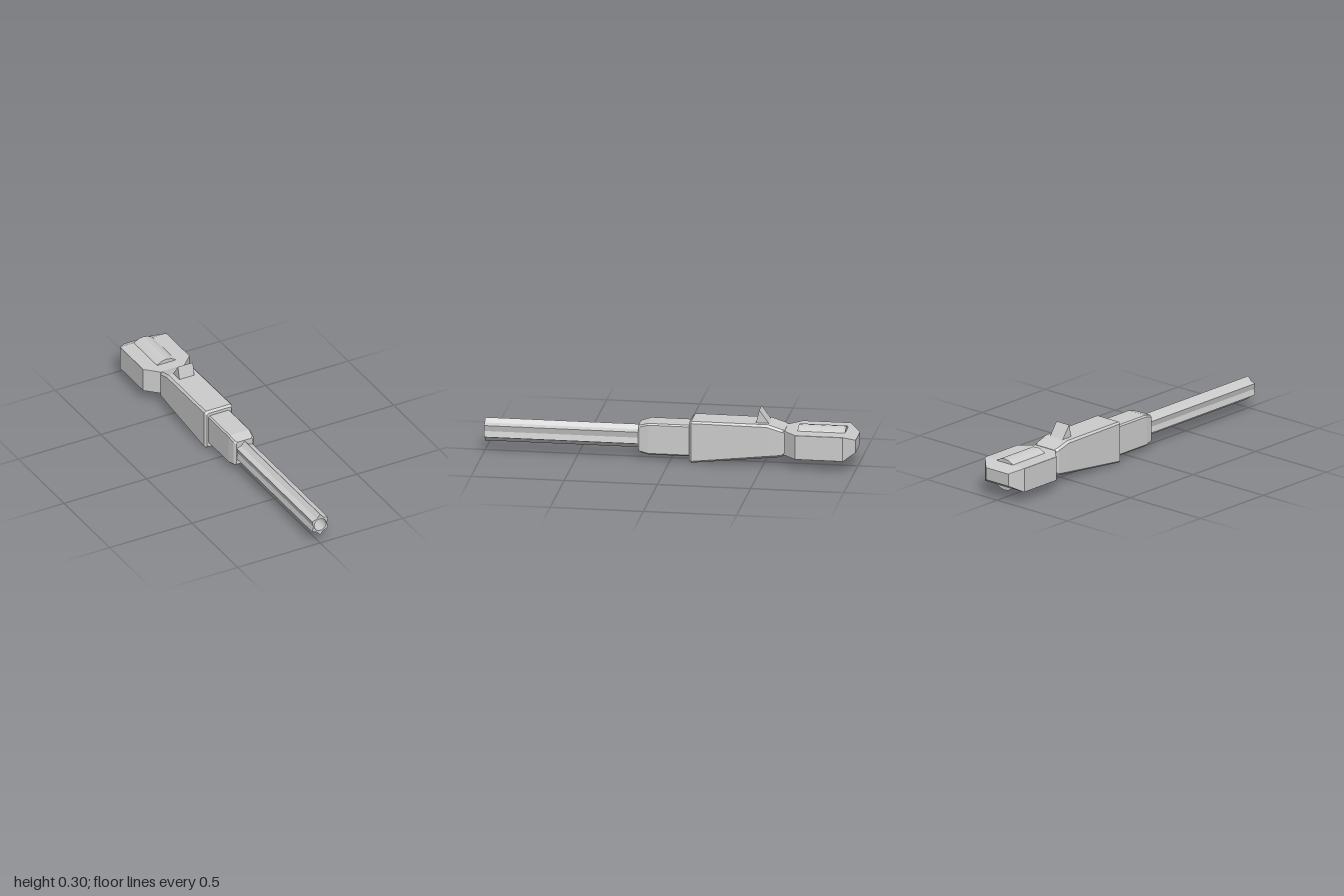
import * as THREE from 'three';

const material = new THREE.MeshStandardMaterial({ color: 0xcccccc, flatShading: true });

function addPart(group, name, geometry) {
  const mesh = new THREE.Mesh(geometry, material);
  mesh.name = name;
  group.add(mesh);
  return mesh;
}

// Rectangle with cut corners, counter-clockwise seen from the front
function ring([z, w, y0, y1, c]) {
  return [
    [w, y0 + c], [w, y1 - c], [w - c, y1], [c - w, y1],
    [-w, y1 - c], [-w, y0 + c], [c - w, y0], [w - c, y0],
  ].map(([x, y]) => [x, y, z]);
}

// Closed loft through sections [z, halfWidth, bottom, top, cornerCut], front to back
function loft(sections) {
  const rings = sections.map(ring);
  const pos = [];
  const tri = (a, b, c) => pos.push(...a, ...b, ...c);
  for (let i = 0; i < rings.length - 1; i++) {
    const a = rings[i], b = rings[i + 1];
    for (let j = 0; j < 8; j++) {
      const k = (j + 1) % 8;
      tri(a[j], b[j], b[k]);
      tri(a[j], b[k], a[k]);
    }
  }
  const first = rings[0], last = rings[rings.length - 1];
  for (let j = 1; j < 7; j++) {
    tri(first[0], first[j], first[j + 1]);
    tri(last[0], last[j + 1], last[j]);
  }
  const geometry = new THREE.BufferGeometry();
  geometry.setAttribute('position', new THREE.Float32BufferAttribute(pos, 3));
  geometry.computeVertexNormals();
  return geometry;
}

export function createModel() {
  const group = new THREE.Group();
  group.name = 'blasterBarrel';

  // Ridged barrel with a round bore
  const star = new THREE.Shape();
  for (let i = 0; i < 12; i++) {
    const a = Math.PI / 2 + (i * Math.PI) / 6;
    const r = i % 2 ? 0.047 : 0.064;
    const x = Math.cos(a) * r * 0.87, y = Math.sin(a) * r;
    if (i) star.lineTo(x, y); else star.moveTo(x, y);
  }
  star.closePath();
  const bore = new THREE.Path();
  bore.absarc(0, 0, 0.036, 0, Math.PI * 2, true);
  star.holes.push(bore);
  const barrelGeometry = new THREE.ExtrudeGeometry(star, {
    depth: 0.9, bevelEnabled: false, curveSegments: 10,
  });
  addPart(group, 'barrel', barrelGeometry).position.set(0, 0.118, 0.1);

  // Collar behind the barrel, narrowing to the front
  addPart(group, 'collar', loft([
    [0.172, 0.05, 0.05, 0.188, 0.008],
    [0.16, 0.06, 0.042, 0.192, 0.008],
    [0.115, 0.066, 0.033, 0.205, 0.008],
    [-0.15, 0.066, 0.033, 0.205, 0.008],
  ]));

  // Main body, tapering to the back
  addPart(group, 'body', loft([
    [-0.105, 0.075, 0.012, 0.222, 0.01],
    [-0.117, 0.085, 0.003, 0.232, 0.01],
    [-0.525, 0.085, 0.047, 0.231, 0.012],
    [-0.6, 0.083, 0.055, 0.208, 0.012],
    [-0.617, 0.074, 0.065, 0.2, 0.012],
  ]));

  // Wedge-shaped sight fin, extruded across the body
  const fin = new THREE.Shape([
    new THREE.Vector2(0.455, 0.21), new THREE.Vector2(0.55, 0.21),
    new THREE.Vector2(0.525, 0.235), new THREE.Vector2(0.477, 0.301),
  ]);
  const finGeometry = new THREE.ExtrudeGeometry(fin, { depth: 0.09, bevelEnabled: false });
  finGeometry.rotateY(Math.PI / 2);
  addPart(group, 'sightFin', finGeometry).position.x = -0.045;

  // Rear block with angled shoulders and a pointed back
  addPart(group, 'rearBlock', loft([
    [-0.6, 0.07, 0.065, 0.198, 0.001],
    [-0.62, 0.074, 0.065, 0.198, 0.001],
    [-0.685, 0.141, 0.065, 0.198, 0.001],
    [-0.94, 0.141, 0.065, 0.198, 0.001],
    [-1, 0.08, 0.1, 0.168, 0.001],
  ]));

  // Drum showing through the top and bottom of the rear block
  const drumGeometry = new THREE.CylinderGeometry(0.088, 0.088, 0.255, 20);
  drumGeometry.rotateX(Math.PI / 2);
  addPart(group, 'drum', drumGeometry).position.set(0, 0.132, -0.812);

  return group;
}
